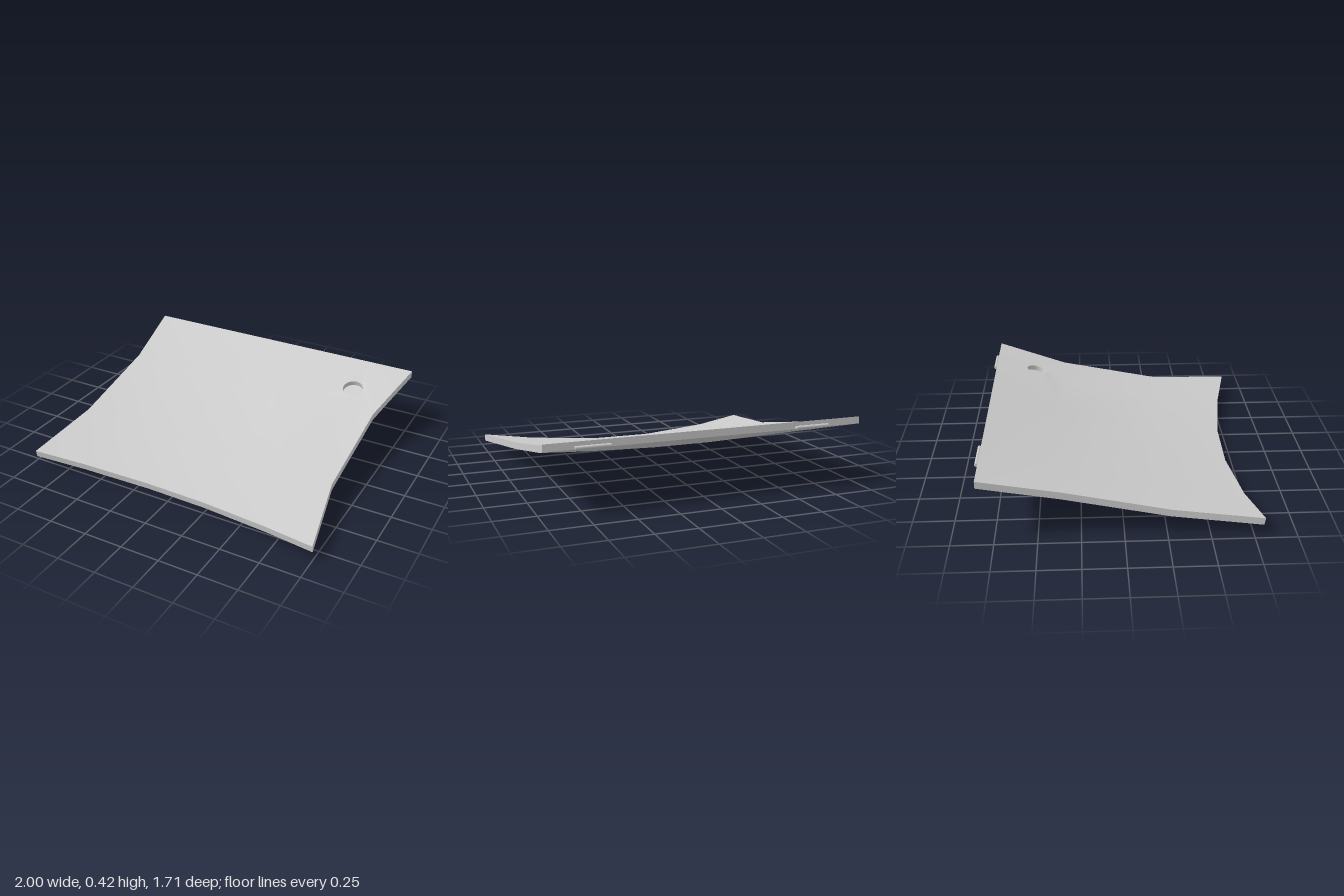
import * as THREE from 'three';
import { toCreasedNormals } from 'three/addons/utils/BufferGeometryUtils.js';

const material = new THREE.MeshStandardMaterial({ color: 0xcccccc });
const V = (x, y, z) => new THREE.Vector3(x, y, z);

// Position of the columns across the panel, and how much of the sag each one gets
const across = [0, 0.168, 0.398, 0.607, 0.832, 1];
const sag = [0, 0.58, 1, 1, 0.56, 0];

// Cross rows from back to front; the middle dips by sagY and draws back by sagZ
const rows = [
  { xl: -1.0, xr: 0.98, zl: -0.83, zr: -0.83, y: 0.427, sagY: 0, sagZ: 0, shift: 0 },
  { xl: -0.935, xr: 0.885, zl: -0.36, zr: -0.36, y: 0.303, sagY: 0.031, sagZ: 0, shift: -0.006 },
  { xl: -0.93, xr: 0.89, zl: 0.28, zr: 0.325, y: 0.165, sagY: 0.049, sagZ: 0.04, shift: -0.008 },
  { xl: -0.96, xr: 1.0, zl: 0.813, zr: 0.855, y: 0.112, sagY: 0.063, sagZ: 0.128, shift: -0.008 },
];

function createPanel() {
  const pos = [];
  const tri = (...pts) => pts.forEach((p) => pos.push(p.x, p.y, p.z));
  const quad = (a, b, c, d) => { tri(a, b, c); tri(a, c, d); };

  const top = rows.map((r) => across.map((t, i) => V(
    THREE.MathUtils.lerp(r.xl, r.xr, t),
    r.y - r.sagY * sag[i],
    THREE.MathUtils.lerp(r.zl, r.zr, t) - r.sagZ * sag[i],
  )));
  const bottom = top.map((row, j) => row.map((p) => V(p.x, p.y - 0.044, p.z + rows[j].shift)));

  // Upper and lower skins; the two cells around the recess are filled separately
  for (let j = 0; j < 3; j++) {
    for (let i = 0; i < 5; i++) {
      if (j > 0 || i < 3) quad(top[j][i], top[j + 1][i], top[j + 1][i + 1], top[j][i + 1]);
      quad(bottom[j][i], bottom[j][i + 1], bottom[j + 1][i + 1], bottom[j + 1][i]);
    }
  }

  // Rim walls, walking round the outline
  const path = [];
  for (let j = 0; j < 3; j++) path.push([j, 0]);
  for (let i = 0; i < 5; i++) path.push([3, i]);
  for (let j = 3; j > 0; j--) path.push([j, 5]);
  for (let i = 5; i > 0; i--) path.push([0, i]);
  path.forEach(([j, i], k) => {
    const [n, m] = path[(k + 1) % path.length];
    quad(top[j][i], bottom[j][i], bottom[n][m], top[n][m]);
  });

  // Round blind recess near the back corner
  const cx = 0.665, cz = -0.555, radius = 0.067, sides = 24;
  const surface = (x, z) => V(x, 0.427 - 0.302 * (z + 0.83), z);
  const rim = Array.from({ length: sides }, (_, k) => {
    const a = (k / sides) * Math.PI * 2;
    return surface(cx + radius * Math.cos(a), cz - radius * Math.sin(a));
  });
  const drop = V(0, -0.032, -0.0097);
  const floor = rim.map((p) => p.clone().add(drop));
  const centre = surface(cx, cz).add(drop);
  for (let k = 0; k < sides; k++) {
    const n = (k + 1) % sides;
    quad(rim[n], floor[n], floor[k], rim[k]);
    tri(centre, floor[k], floor[n]);
  }

  // Skin between the recess and the surrounding cells
  const border = [top[0][3], top[1][3], top[1][4], top[1][5], top[0][5], top[0][4]];
  const flat = (pts) => pts.map((p) => new THREE.Vector2(p.x, -p.z));
  const points = [...border, ...rim];
  THREE.ShapeUtils.triangulateShape(flat(border), [flat(rim)]).forEach((f) => {
    const t = f.map((i) => points[i]);
    if (THREE.ShapeUtils.area(flat(t)) < 0) t.reverse();
    tri(...t);
  });

  const geometry = new THREE.BufferGeometry();
  geometry.setAttribute('position', new THREE.Float32BufferAttribute(pos, 3));
  const mesh = new THREE.Mesh(toCreasedNormals(geometry, 0.6), material);
  mesh.name = 'curvedPanel';
  return mesh;
}

// Hinge: short leaf against the back edge with a pin along it
function createHinge(name, x0, x1) {
  const hinge = new THREE.Group();
  hinge.name = name;
  const leaf = new THREE.Mesh(new THREE.BoxGeometry(x1 - x0, 0.012, 0.02), material);
  leaf.name = 'hingeLeaf';
  leaf.position.z = 0.01;
  const pin = new THREE.Mesh(new THREE.CylinderGeometry(0.01, 0.01, x1 - x0, 12), material);
  pin.name = 'hingePin';
  pin.rotation.z = Math.PI / 2;
  hinge.add(leaf, pin);
  hinge.position.set((x0 + x1) / 2, 0.396, -0.845);
  return hinge;
}

export function createModel() {
  const model = new THREE.Group();
  model.name = 'hingedPanel';
  model.add(
    createPanel(),
    createHinge('rightHinge', -0.77, -0.555),
    createHinge('leftHinge', 0.598, 0.802),
  );
  return model;
}
